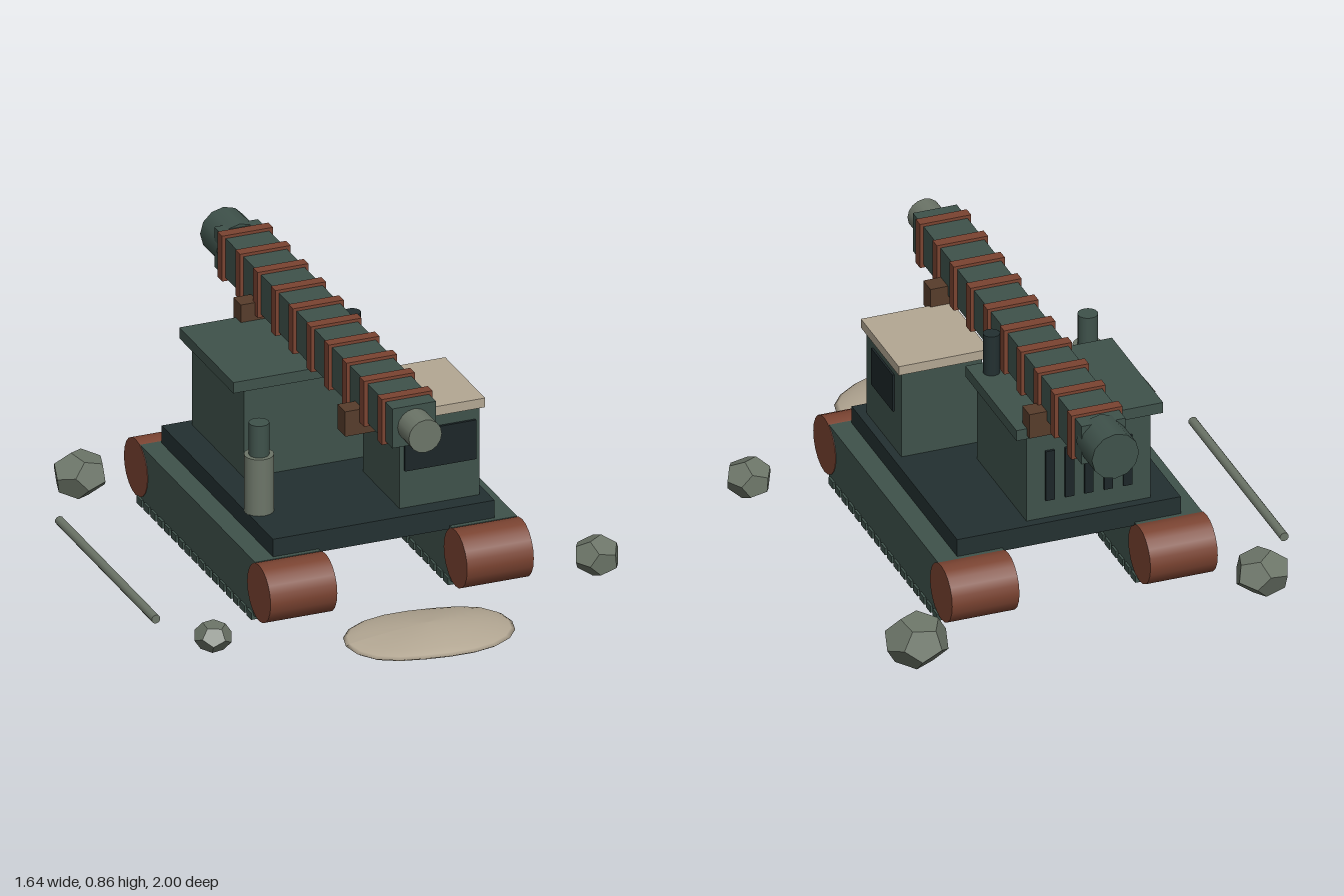
import * as THREE from 'three';

const mat = (name, color) => {
  const m = new THREE.MeshStandardMaterial({ color });
  m.name = name;
  return m;
};

export function createModel() {
  const model = new THREE.Group();
  model.name = 'trackedMachine';
  const green = mat('hull green', 0x3f524b);
  const dark = mat('deck dark', 0x233031);
  const glass = mat('window dark', 0x1c2628);
  const rust = mat('rust', 0x7a4331);
  const brown = mat('saddle brown', 0x573c2b);
  const cream = mat('cream', 0xb3a793);
  const stone = mat('stone grey', 0x6c7568);

  const add = (name, geo, material, parent = model) => {
    const m = new THREE.Mesh(geo, material);
    m.name = name;
    parent.add(m);
    return m;
  };
  // Box given by its extents on each axis
  const box = (name, [x0, x1], [y0, y1], [z0, z1], material, parent) => {
    const m = add(name, new THREE.BoxGeometry(x1 - x0, y1 - y0, z1 - z0), material, parent);
    m.position.set((x0 + x1) / 2, (y0 + y1) / 2, (z0 + z1) / 2);
    return m;
  };
  // Cylinder lying along x, y or z
  const cyl = (name, r, len, axis, [x, y, z], material, sides = 18, parent = model) => {
    const geo = new THREE.CylinderGeometry(r, r, len, sides);
    if (axis === 'x') geo.rotateZ(Math.PI / 2);
    if (axis === 'z') geo.rotateX(Math.PI / 2);
    const m = add(name, geo, material, parent);
    m.position.set(x, y, z);
    return m;
  };

  // Tracks: hull, end rollers and ground pads
  for (const [side, cx] of [['right', -0.368], ['left', 0.346]]) {
    const track = new THREE.Group();
    track.name = side + 'Track';
    model.add(track);
    box('trackBody', [cx - 0.119, cx + 0.119], [0.05, 0.252], [-0.6, 0.42], green, track);
    for (const z of [0.458, -0.619]) cyl('endRoller', 0.103, 0.242, 'x', [cx, 0.155, z], rust, 20, track);
    for (let i = 0; i < 17; i++) {
      const z = 0.385 - i * 0.06;
      box('trackPad', [cx - 0.127, cx + 0.127], [0.034, 0.06], [z - 0.021, z + 0.021], green, track);
    }
  }

  // Deck
  box('deck', [-0.415, 0.39], [0.24, 0.317], [-0.57, 0.403], dark);

  // Engine house with roof, rear louvres and short stack
  box('engineHouse', [-0.318, 0.128], [0.315, 0.645], [-0.537, -0.082], green);
  box('engineRoof', [-0.36, 0.168], [0.64, 0.68], [-0.548, -0.076], green);
  for (let i = 0; i < 5; i++) {
    const x = -0.095 + (i - 2) * 0.07;
    box('louvre', [x - 0.016, x + 0.016], [0.385, 0.575], [-0.546, -0.537], glass);
  }
  cyl('stack', 0.029, 0.16, 'y', [0.101, 0.75, -0.145], dark, 14);

  // Cab with pale roof and windows
  box('cab', [0.07, 0.36], [0.315, 0.65], [0.022, 0.342], green);
  box('cabRoof', [0.05, 0.376], [0.643, 0.677], [0.005, 0.354], cream);
  box('frontWindow', [0.087, 0.345], [0.455, 0.6], [0.342, 0.351], glass);
  box('sideWindow', [0.36, 0.367], [0.46, 0.6], [0.085, 0.283], glass);

  // Exhaust
  cyl('exhaustBase', 0.051, 0.21, 'y', [-0.369, 0.42, 0.17], stone, 16);
  cyl('exhaustPipe', 0.035, 0.14, 'y', [-0.369, 0.572, 0.17], green, 16);

  // Boom with bands, nose, tail and saddles
  const bx = -0.012, by = 0.783;
  box('boom', [bx - 0.079, bx + 0.079], [0.71, 0.856], [-0.89, 0.667], green);
  for (let i = 0; i < 10; i++) {
    const z = 0.587 - i * 0.1552;
    box('boomBand', [bx - 0.092, bx + 0.092], [0.699, 0.867], [z - 0.02, z + 0.02], rust);
  }
  cyl('boomNose', 0.06, 0.12, 'z', [bx, by, 0.705], stone, 16);
  cyl('boomTail', 0.085, 0.145, 'z', [bx, by, -0.9275], green, 12);
  for (const z of [0.376, -0.537]) {
    box('saddle', [-0.155, 0.13], [0.653, 0.745], [z - 0.033, z + 0.033], brown);
  }

  // Loose stones
  const rocks = [
    [0.62, 0.092, -0.785, 0.11, 0.092, 0.105, 0.5],
    [-0.63, 0.09, -0.77, 0.097, 0.08, 0.092, 1.3],
    [-0.692, 0.07, 0.545, 0.064, 0.052, 0.066, 0.9],
    [0.735, 0.08, 0.468, 0.081, 0.068, 0.085, 2.1],
  ];
  for (const [x, y, z, sx, sy, sz, turn] of rocks) {
    const geo = new THREE.DodecahedronGeometry(1.04, 0);
    geo.rotateX(turn * 0.7).rotateY(turn).scale(sx, sy, sz);
    add('stone', geo, stone).position.set(x, y, z);
  }

  // Flat sand mound, gently warped
  const mound = new THREE.SphereGeometry(1, 20, 10);
  const p = mound.attributes.position;
  for (let i = 0; i < p.count; i++) {
    const x = p.getX(i), y = p.getY(i), z = p.getZ(i);
    const thin = 1 - 0.45 * (x * x + z * z);
    p.setXYZ(i, x * 0.302, y * 0.044 * thin - x * 0.008 + 0.006 * Math.sin(3 * x + 2 * z), z * 0.2);
  }
  mound.computeVertexNormals();
  add('sandMound', mound, cream).position.set(-0.012, 0.066, 0.798);

  // Loose rod beside the machine
  cyl('rod', 0.016, 0.845, 'z', [-0.806, 0.056, -0.101], stone, 10);

  return model;
}
